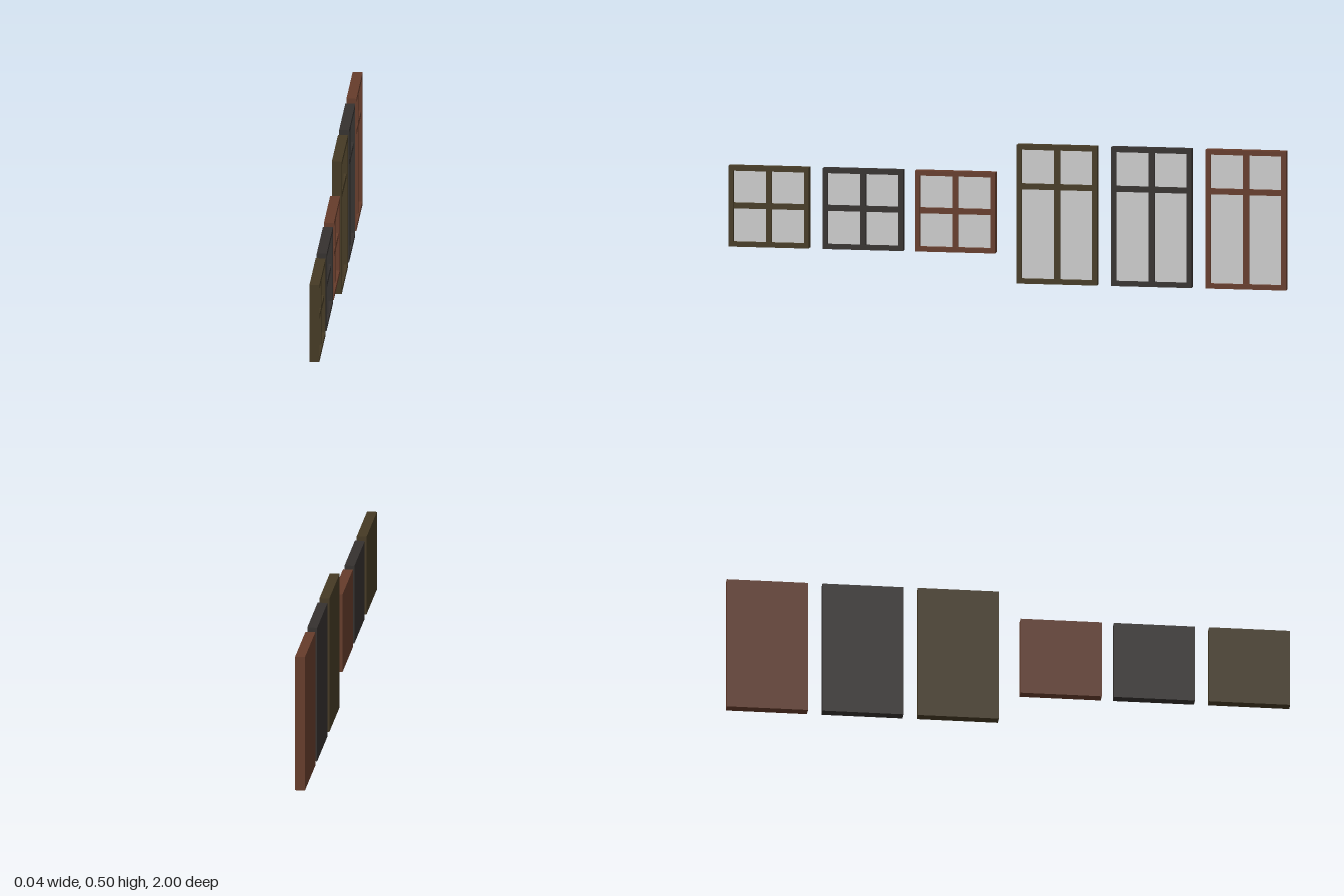
import * as THREE from 'three';

const WIDTH = 0.288, DEPTH = 0.035, RIM = 0.017, BAR = 0.02;
const GLASS_X = 0.0, BAR_FRONT = 0.013;

function box(name, material, x0, x1, y0, y1, z0, z1) {
  const mesh = new THREE.Mesh(new THREE.BoxGeometry(x1 - x0, y1 - y0, z1 - z0), material);
  mesh.position.set((x0 + x1) / 2, (y0 + y1) / 2, (z0 + z1) / 2);
  mesh.name = name;
  return mesh;
}

function rectangle(Type, w, h) {
  return new Type([
    new THREE.Vector2(-w / 2, 0), new THREE.Vector2(w / 2, 0),
    new THREE.Vector2(w / 2, h), new THREE.Vector2(-w / 2, h),
  ]);
}

// One window facing +x: rim, closed back, recessed panes and crossed glazing bars
function makeWindow(name, height, barY, wood, glass) {
  const group = new THREE.Group();
  group.name = name;
  const half = WIDTH / 2, inner = half - RIM, back = -DEPTH / 2;

  // Outer rim with a rectangular opening
  const shape = rectangle(THREE.Shape, WIDTH, height);
  const hole = rectangle(THREE.Path, inner * 2, height - RIM * 2);
  shape.holes.push(new THREE.Path(hole.getPoints().map((p) => p.add(new THREE.Vector2(0, RIM)))));
  const geometry = new THREE.ExtrudeGeometry(shape, { depth: DEPTH, bevelEnabled: false });
  geometry.translate(0, 0, back).rotateY(Math.PI / 2);
  const rim = new THREE.Mesh(geometry, wood);
  rim.name = 'rim';
  group.add(rim);

  // Closed back panel
  group.add(box('backPanel', wood, back, back + 0.006, RIM, height - RIM, -inner, inner));

  // Glazing bars
  group.add(box('uprightBar', wood, back + 0.006, BAR_FRONT, RIM, height - RIM, -BAR / 2, BAR / 2));
  for (const s of [-1, 1]) {
    const [z0, z1] = s < 0 ? [-inner, -BAR / 2] : [BAR / 2, inner];
    group.add(box('crossBar', wood, back + 0.006, BAR_FRONT, barY - BAR / 2, barY + BAR / 2, z0, z1));
    // Lower and upper panes
    group.add(box('pane', glass, back + 0.006, GLASS_X, RIM, barY - BAR / 2, z0, z1));
    group.add(box('pane', glass, back + 0.006, GLASS_X, barY + BAR / 2, height - RIM, z0, z1));
  }
  return group;
}

export function createModel() {
  const model = new THREE.Group();
  model.name = 'windowSet';
  const glass = new THREE.MeshStandardMaterial({ color: 0xcccccc });
  const woods = [0x453a24, 0x35312f, 0x653c2b].map((color) => new THREE.MeshStandardMaterial({ color }));

  // Three small and three tall windows in a row along z, in the same three finishes
  const rows = [
    { name: 'smallWindow', height: 0.288, barY: 0.146, base: 0.105, zs: [0.856, 0.518, 0.187] },
    { name: 'tallWindow', height: 0.495, barY: 0.346, base: 0, zs: [-0.178, -0.517, -0.856] },
  ];
  for (const row of rows) {
    row.zs.forEach((z, i) => {
      const unit = makeWindow(row.name, row.height, row.barY, woods[i], glass);
      unit.position.set(0, row.base, z);
      model.add(unit);
    });
  }
  return model;
}
